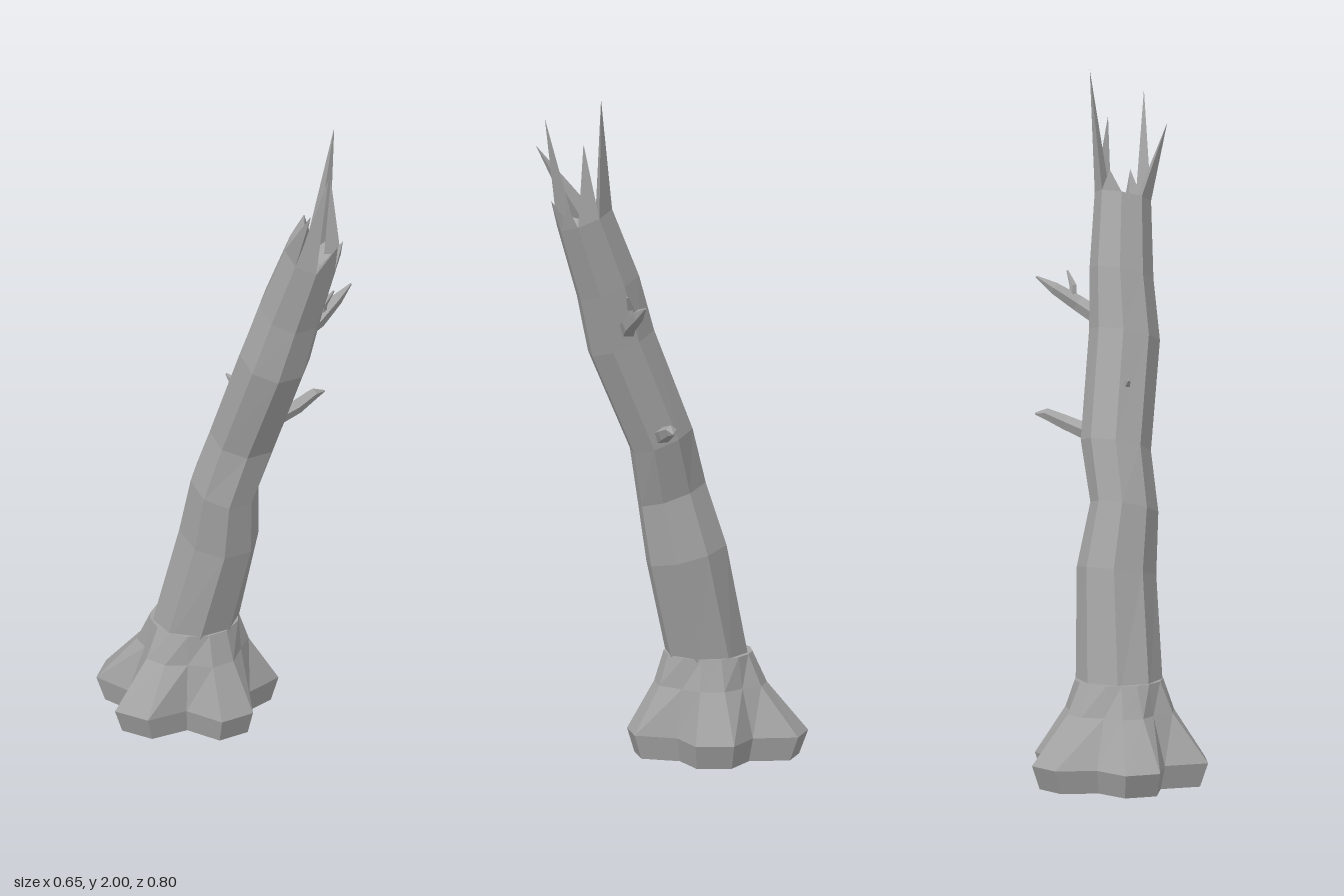
import * as THREE from 'three';

const V = (x, y, z) => new THREE.Vector3(x, y, z);

// Faceted geometry from a list of triangles (three corners each)
function faceted(points) {
  const g = new THREE.BufferGeometry().setFromPoints(points);
  g.computeVertexNormals();
  return g;
}

// Skin between rings that run counter-clockwise around the growth direction
function loft(rings, bottomHub, topHub) {
  const p = [];
  const n = rings[0].length;
  for (let j = 0; j < rings.length - 1; j++) {
    for (let i = 0; i < n; i++) {
      const k = (i + 1) % n;
      const [a, b, c, d] = [rings[j][i], rings[j][k], rings[j + 1][k], rings[j + 1][i]];
      p.push(a, b, c, a, c, d);
    }
  }
  const last = rings[rings.length - 1];
  for (let i = 0; i < n; i++) {
    const k = (i + 1) % n;
    if (bottomHub) p.push(rings[0][k], rings[0][i], bottomHub);
    if (topHub) p.push(last[i], last[k], topHub);
  }
  return faceted(p);
}

// Five-sided tapering limb along a path of [x, y, z, radius]
function limb(path) {
  const pts = path.map(([x, y, z]) => V(x, y, z));
  const rings = pts.map((c, j) => {
    const d = pts[Math.min(j + 1, pts.length - 1)].clone().sub(pts[Math.max(j - 1, 0)]).normalize();
    const u = V(0, 0, 1).cross(d).normalize();
    const v = d.clone().cross(u);
    return Array.from({ length: 5 }, (_, i) => {
      const a = (i / 5) * Math.PI * 2;
      return c.clone().addScaledVector(u, path[j][3] * Math.cos(a)).addScaledVector(v, path[j][3] * Math.sin(a));
    });
  });
  return loft(rings, pts[0], pts[pts.length - 1]);
}

export function createModel() {
  const tree = new THREE.Group();
  tree.name = 'deadTree';
  const wood = new THREE.MeshStandardMaterial({ color: 0xa3a3a3 });
  wood.name = 'greyWood';
  const add = (name, geometry) => {
    const m = new THREE.Mesh(geometry, wood);
    m.name = name;
    tree.add(m);
  };

  // Root flare: five blunt lobes with valleys between, as [x, z]
  const outline = [
    [0.18, -0.045], [0.195, -0.155], [0.1, -0.225],
    [0.11, -0.355], [0.015, -0.4], [-0.09, -0.34],
    [-0.2, -0.38], [-0.275, -0.305], [-0.235, -0.19],
    [-0.33, -0.1], [-0.275, -0.005], [-0.15, 0],
    [-0.095, 0.11], [0.01, 0.105], [0.065, -0.01],
  ];
  const hub = [-0.055, -0.12];
  const rootRing = (y, t, scale) => outline.map(([x, z]) => {
    const dx = x - hub[0], dz = z - hub[1];
    const s = scale * (1 - t + (t * 0.128) / Math.hypot(dx, dz));
    return V(hub[0] + dx * s, y, hub[1] + dz * s);
  });
  add('rootFlare', loft(
    [rootRing(0, 0, 0.91), rootRing(0.07, 0, 1), rootRing(0.21, 0.74, 1), rootRing(0.3, 1, 1)],
    V(hub[0], 0, hub[1]), V(hub[0], 0.3, hub[1])));

  // Leaning trunk: [y, centre x, centre z, half width, half depth, tilt]
  const sections = [
    [0.25, -0.06, -0.125, 0.118, 0.112, 0],
    [0.6, -0.015, -0.05, 0.105, 0.11, 0.25],
    [0.78, -0.02, -0.008, 0.09, 0.093, 0.35],
    [0.95, 0.025, 0.03, 0.095, 0.085, 0.4],
    [1.25, 0.055, 0.152, 0.095, 0.09, 0.4],
    [1.42, 0.085, 0.195, 0.085, 0.085, 0.4],
    [1.63, 0.115, 0.268, 0.075, 0.075, 0.4],
  ];
  const trunkRings = sections.map(([y, cx, cz, rx, rz, tilt]) =>
    Array.from({ length: 8 }, (_, i) => {
      const a = ((i + 0.5) / 8) * Math.PI * 2;
      const dz = (-Math.sin(a) * rz) / 0.924;
      return V(cx + (Math.cos(a) * rx) / 0.924, y - dz * tilt, cz + dz);
    }));
  const heart = V(0.115, 1.6, 0.268);
  add('trunk', loft(trunkRings, null, heart));

  // Splintered top: each splinter stands on one side of the rim
  const rim = trunkRings[trunkRings.length - 1];
  const splinters = [
    [0, V(0.205, 2, 0.235)], [1, V(0.125, 1.72, 0.2)], [3, V(0.035, 1.83, 0.397)],
    [4, V(0.102, 1.925, 0.382)], [5, V(0.14, 1.69, 0.37)], [6, V(0.18, 1.68, 0.33)],
    [7, V(0.168, 1.86, 0.28)],
  ];
  for (const [i, tip] of splinters) {
    const a = rim[i], b = rim[(i + 1) % 8];
    const inner = a.clone().add(b).multiplyScalar(0.5).lerp(heart, 0.5);
    add('splinter', faceted([a, b, tip, b, inner, tip, inner, a, tip]));
  }

  // Broken branches, a twig and a small stub
  add('lowerBranch', limb([
    [0.09, 0.97, 0.04, 0.026], [0.19, 1, 0.045, 0.022], [0.25, 1.022, 0.038, 0.017], [0.285, 1.02, 0.037, 0.003]]));
  add('upperBranch', limb([
    [0.11, 1.285, 0.145, 0.027], [0.2, 1.33, 0.15, 0.024], [0.27, 1.372, 0.135, 0.018], [0.323, 1.403, 0.125, 0.003]]));
  add('twig', limb([
    [0.215, 1.335, 0.145, 0.012], [0.218, 1.38, 0.152, 0.011], [0.243, 1.42, 0.165, 0.003]]));
  add('stub', limb([
    [0.01, 1.1, 0.06, 0.015], [-0.012, 1.132, 0.025, 0.013], [-0.025, 1.148, 0.01, 0.003]]));

  return tree;
}
